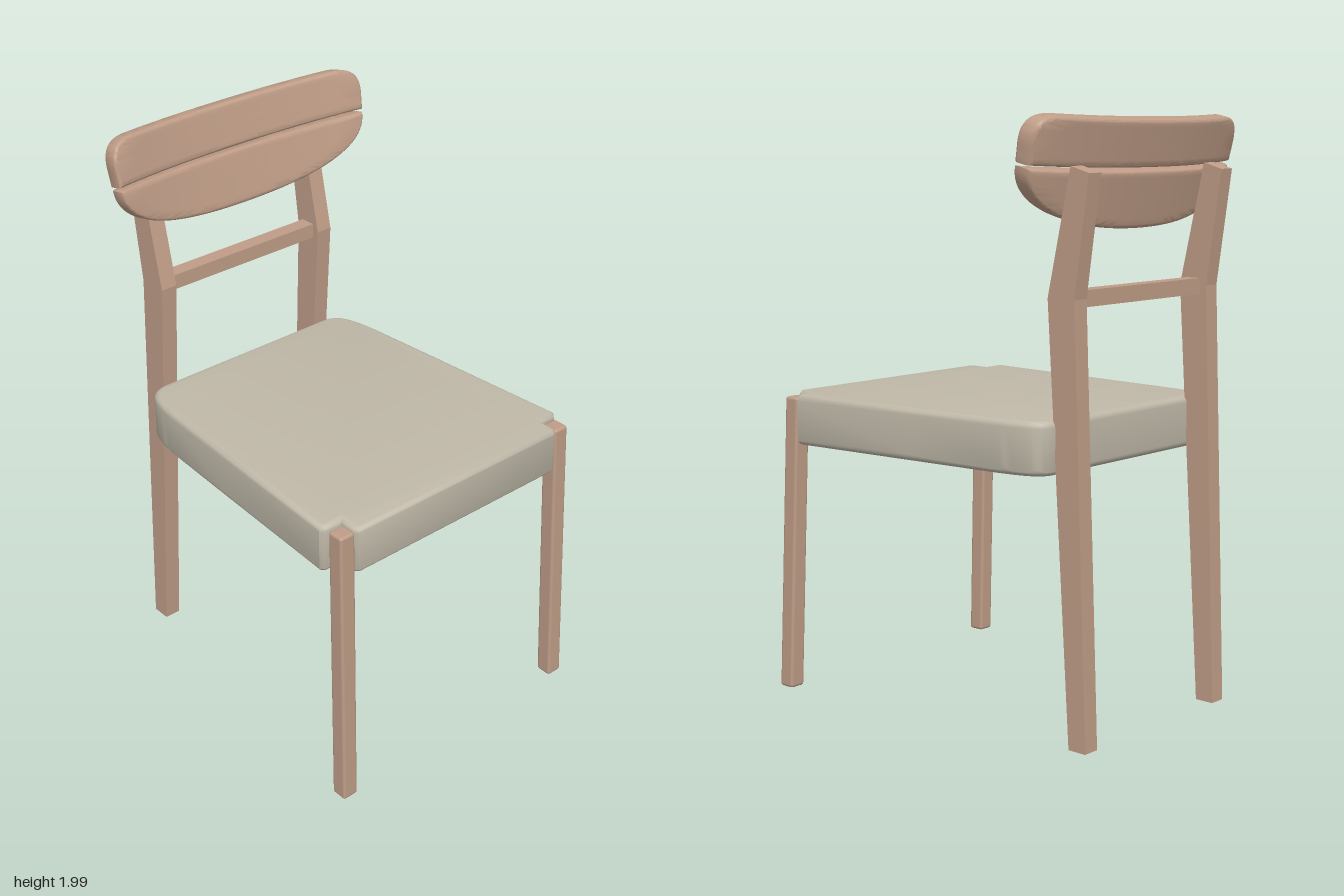
import * as THREE from 'three';
import { toCreasedNormals } from 'three/addons/utils/BufferGeometryUtils.js';
import { RoundedBoxGeometry } from 'three/addons/geometries/RoundedBoxGeometry.js';

const wood = new THREE.MeshStandardMaterial({ color: 0xbf9d87 });
wood.name = 'wood';
const upholstery = new THREE.MeshStandardMaterial({ color: 0xbfb8a8 });
upholstery.name = 'upholstery';

function part(name, geometry, material) {
  const mesh = new THREE.Mesh(geometry, material);
  mesh.name = name;
  return mesh;
}

// Tapered cushion with notched front corners and rounded back corners
function seatGeometry() {
  const s = new THREE.Shape(); // shape y is -z
  s.moveTo(-0.435, -0.605);
  s.lineTo(0.435, -0.605);
  s.lineTo(0.45, -0.59);
  s.lineTo(0.45, -0.53);
  s.lineTo(0.512, -0.53);
  s.lineTo(0.527, -0.515);
  s.lineTo(0.491, 0);
  s.lineTo(0.468, 0.32);
  s.bezierCurveTo(0.455, 0.44, 0.44, 0.505, 0.36, 0.505);
  s.lineTo(-0.36, 0.505);
  s.bezierCurveTo(-0.44, 0.505, -0.455, 0.44, -0.468, 0.32);
  s.lineTo(-0.491, 0);
  s.lineTo(-0.527, -0.515);
  s.lineTo(-0.512, -0.53);
  s.lineTo(-0.45, -0.53);
  s.lineTo(-0.45, -0.59);
  s.closePath();
  const bevel = 0.022;
  const g = new THREE.ExtrudeGeometry(s, {
    depth: 0.175 - 2 * bevel, bevelThickness: bevel, bevelSize: bevel,
    bevelOffset: -bevel, bevelSegments: 5, curveSegments: 12,
  });
  g.rotateX(-Math.PI / 2).translate(0, 0.875 + bevel, 0);
  return toCreasedNormals(g, 0.8);
}

// Bowed board: rings of one outline run from back centre, round the edge, to front centre
function boardGeometry(shape, centreV, halfHeight) {
  const outline = shape.getSpacedPoints(240).slice(0, -1);
  const halfWidth = 0.525, thickness = 0.065, r = 0.013, steps = 6;
  const rings = []; // [fraction of outline, inset, z]
  for (let i = 0; i < steps; i++) rings.push([i / steps, r, -thickness]);
  for (let i = 0; i <= 4; i++) {
    const a = (i / 4) * Math.PI / 2;
    rings.push([1, r * (1 - Math.sin(a)), -thickness + r * (1 - Math.cos(a))]);
  }
  for (const [f, d, z] of rings.slice().reverse()) rings.push([f, d, -thickness - z]);

  const positions = [], index = [], n = outline.length;
  rings.forEach(([f, d, z], i) => {
    outline.forEach((p, k) => {
      const x = p.x * f * (1 - d / halfWidth);
      const v = centreV + (p.y - centreV) * f * (1 - d / halfHeight);
      const bow = 0.06 * (1 - Math.pow(Math.abs(x) / halfWidth, 2.3));
      positions.push(x, v, z - bow);
      if (i === rings.length - 1) return;
      const a = i * n + k, b = i * n + (k + 1) % n;
      index.push(a, b, b + n, a, b + n, a + n);
    });
  });
  const g = new THREE.BufferGeometry();
  g.setAttribute('position', new THREE.Float32BufferAttribute(positions, 3));
  g.setIndex(index);
  return toCreasedNormals(g, 0.7);
}

function backrest() {
  const upper = new THREE.Shape();
  upper.moveTo(-0.52, 0.005);
  upper.lineTo(0.52, 0.005);
  upper.lineTo(0.525, 0.07);
  upper.bezierCurveTo(0.525, 0.13, 0.5, 0.159, 0.42, 0.159);
  upper.lineTo(-0.42, 0.159);
  upper.bezierCurveTo(-0.5, 0.159, -0.525, 0.13, -0.525, 0.07);
  upper.closePath();

  const lower = new THREE.Shape();
  lower.moveTo(0.518, -0.005);
  lower.lineTo(-0.518, -0.005);
  lower.bezierCurveTo(-0.515, -0.14, -0.3, -0.193, 0, -0.193);
  lower.bezierCurveTo(0.3, -0.193, 0.515, -0.14, 0.518, -0.005);

  const group = new THREE.Group();
  group.name = 'backrest';
  group.add(part('upperBackBoard', boardGeometry(upper, 0.082, 0.077), wood));
  group.add(part('lowerBackBoard', boardGeometry(lower, -0.08, 0.1), wood));
  group.position.set(0, 1.845, -0.455);
  group.rotation.x = -0.22;
  return group;
}

// Slim front leg, leaning inward and back towards the top
function frontLegGeometry(side) {
  const h = 1.035;
  const g = new RoundedBoxGeometry(0.06, h, 0.06, 2, 0.01);
  g.translate(0, h / 2, 0);
  const p = g.attributes.position;
  for (let i = 0; i < p.count; i++) {
    const t = p.getY(i) / h;
    p.setX(i, p.getX(i) + side * (0.495 - 0.016 * t));
    p.setZ(i, p.getZ(i) + 0.604 - 0.038 * t);
  }
  return g;
}

// Back leg with a bend, drawn in profile (z, y) and extruded across x
function backLegGeometry() {
  const profile = [
    [-0.563, 0], [-0.471, 1.43], [-0.56, 1.835],
    [-0.631, 1.815], [-0.577, 1.43], [-0.631, 0],
  ].map(([z, y]) => new THREE.Vector2(-z, y));
  const g = new THREE.ExtrudeGeometry(new THREE.Shape(profile), { depth: 0.06, bevelEnabled: false });
  return g.translate(0, 0, -0.03).rotateY(Math.PI / 2);
}

export function createModel() {
  const chair = new THREE.Group();
  chair.name = 'chair';
  chair.add(part('seat', seatGeometry(), upholstery));

  for (const side of [1, -1]) {
    const name = side > 0 ? 'left' : 'right';
    chair.add(part(name + 'FrontLeg', frontLegGeometry(side), wood));
    const backLeg = part(name + 'BackLeg', backLegGeometry(), wood);
    backLeg.position.x = side * 0.345;
    chair.add(backLeg);
  }

  // Rail between the back legs
  const rail = part('backRail', new THREE.BoxGeometry(0.63, 0.053, 0.055), wood);
  rail.position.set(0, 1.427, -0.525);
  chair.add(rail);

  chair.add(backrest());
  return chair;
}
